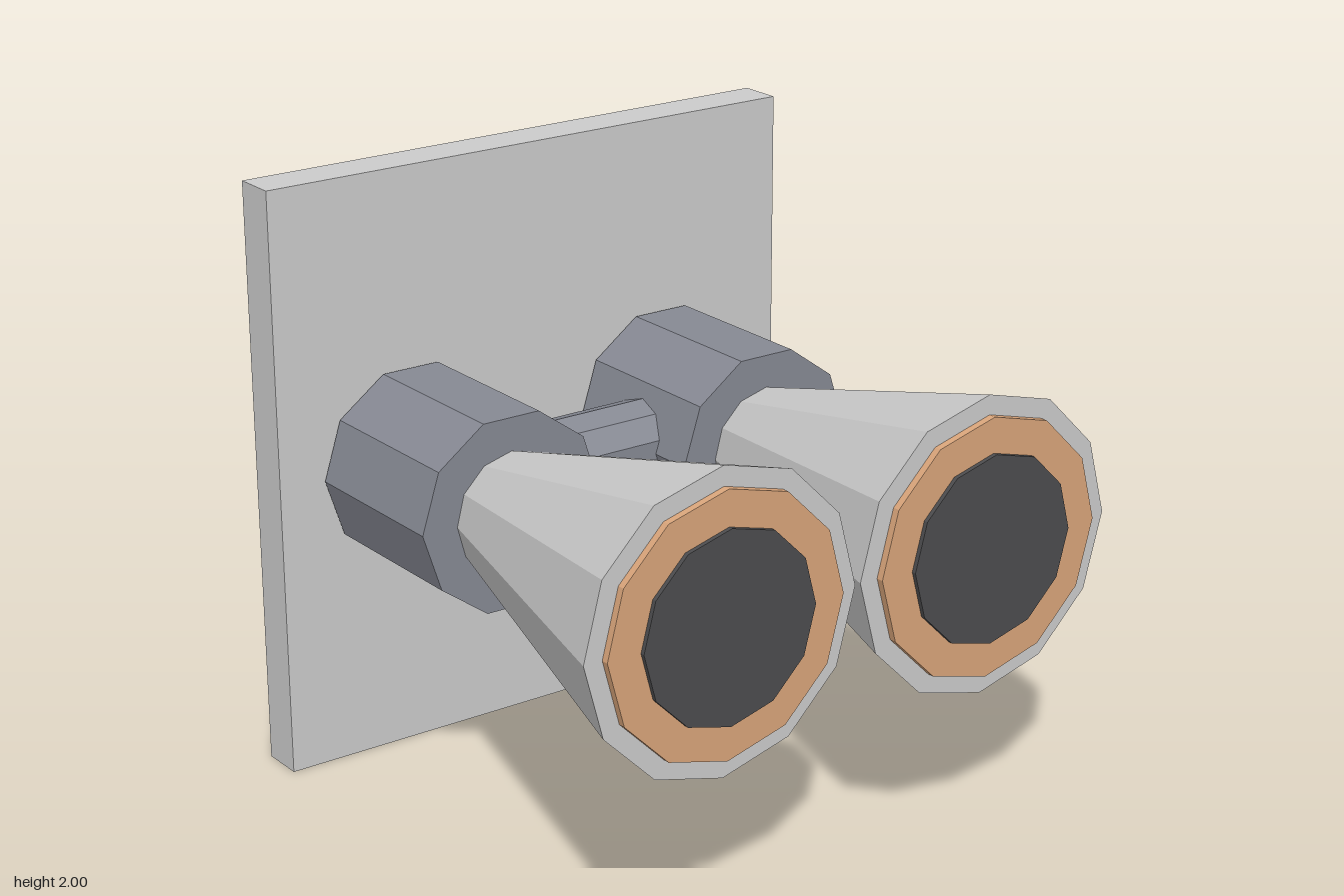
import * as THREE from 'three';

const mat = (color) => new THREE.MeshStandardMaterial({ color, flatShading: true });

export function createModel() {
  const model = new THREE.Group();
  const grey = mat(0xcccccc);
  const dark = mat(0x868993);
  const copper = mat(0xd8a47a);
  const black = mat(0x4c4c4e);

  function add(parent, name, geometry, material) {
    const mesh = new THREE.Mesh(geometry, material);
    mesh.name = name;
    parent.add(mesh);
    return mesh;
  }

  // Faceted drum along z, from zBack to zFront
  function drum(rBack, rFront, zBack, zFront, sides, start = 0) {
    return new THREE.CylinderGeometry(rFront, rBack, zFront - zBack, sides, 1, false, start)
      .rotateX(Math.PI / 2)
      .translate(0, 0, (zBack + zFront) / 2);
  }

  // Square backing plate
  add(model, 'backPlate', new THREE.BoxGeometry(2, 2, 0.15).translate(0, 1, -0.87), grey);

  // Two matching nozzles side by side
  for (const side of [-1, 1]) {
    const nozzle = new THREE.Group();
    nozzle.name = side > 0 ? 'leftNozzle' : 'rightNozzle';
    nozzle.position.set(side * 0.505, 1.003, 0);
    add(nozzle, 'housing', drum(0.337, 0.337, -0.78, -0.19, 10, Math.PI / 2), dark);
    add(nozzle, 'bell', drum(0.207, 0.495, -0.2, 0.905, 12), grey);
    add(nozzle, 'copperRim', drum(0.43, 0.43, 0.88, 0.93, 12), copper);
    add(nozzle, 'darkThroat', drum(0.313, 0.313, 0.9, 0.945, 12), black);
    model.add(nozzle);
  }

  // Cross tube joining the two housings
  const tube = new THREE.CylinderGeometry(0.146, 0.146, 0.5, 10, 1, false, Math.PI / 2)
    .rotateZ(Math.PI / 2)
    .translate(0, 1.003, -0.487);
  add(model, 'crossTube', tube, dark);

  return model;
}
